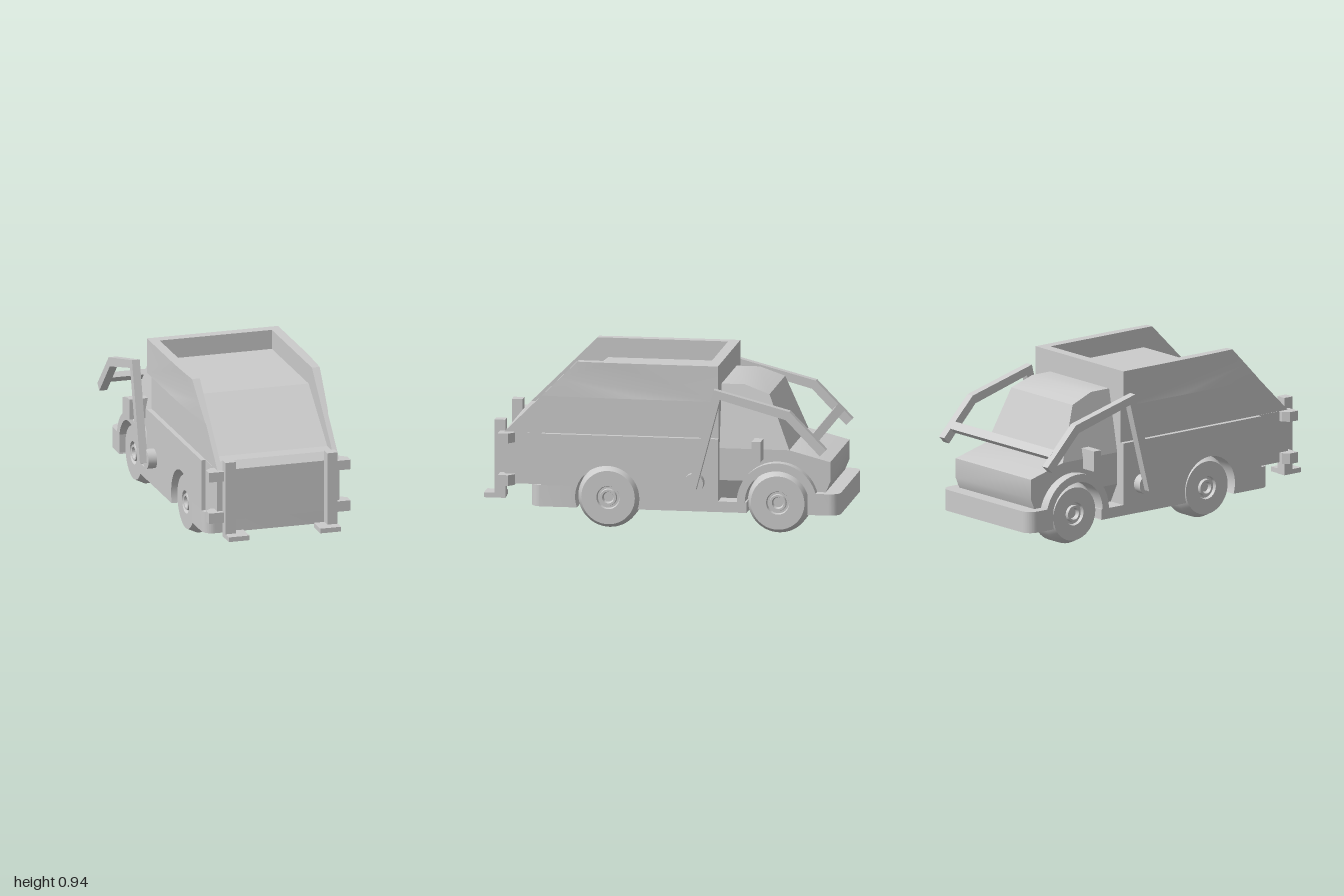
import * as THREE from 'three';
import { toCreasedNormals } from 'three/addons/utils/BufferGeometryUtils.js';

export function createModel() {
  const root = new THREE.Group();
  const mat = new THREE.MeshStandardMaterial({ color: 0xcccccc });

  const add = (name, geo) => {
    const m = new THREE.Mesh(toCreasedNormals(geo, 0.5), mat);
    m.name = name;
    root.add(m);
    return m;
  };
  const box = (name, x0, x1, y0, y1, z0, z1) =>
    add(name, new THREE.BoxGeometry(x1 - x0, y1 - y0, z1 - z0)
      .translate((x0 + x1) / 2, (y0 + y1) / 2, (z0 + z1) / 2));
  const poly = pts => new THREE.Shape(pts.map(p => new THREE.Vector2(p[0], p[1])));
  // side profile drawn in (z, y), extruded across x0..x1
  const across = (shape, x0, x1) =>
    new THREE.ExtrudeGeometry(shape, { depth: x1 - x0, bevelEnabled: false, curveSegments: 32 })
      .rotateY(-Math.PI / 2).translate(x1, 0, 0);
  // plan drawn in (x, -z), extruded up y0..y1
  const upward = (shape, y0, y1) =>
    new THREE.ExtrudeGeometry(shape, { depth: y1 - y0, bevelEnabled: false, curveSegments: 10 })
      .rotateX(-Math.PI / 2).translate(0, y0, 0);
  // same part on both sides, given its x range on the left
  const bothSides = (name, shape, x0, x1, rule = null) => {
    for (const s of [1, -1]) {
      const g = across(shape, s > 0 ? x0 : -x1, s > 0 ? x1 : -x0);
      if (rule) bend(g, rule);
      add(name, g);
    }
  };
  const bend = (g, rule) => {
    const p = g.attributes.position, v = new THREE.Vector3();
    for (let i = 0; i < p.count; i++) {
      rule(v.fromBufferAttribute(p, i));
      p.setXYZ(i, v.x, v.y, v.z);
    }
    return g;
  };
  const arc = (cz, r, y0, y1) => { // points over a wheel, from +z to -z
    const a0 = Math.asin((y0 - 0.18) / r), a1 = Math.PI - Math.asin((y1 - 0.18) / r);
    return Array.from({ length: 33 }, (_, i) => {
      const a = a0 + (a1 - a0) * i / 32;
      return [cz + r * Math.cos(a), 0.18 + r * Math.sin(a)];
    });
  };
  const REAR = 0.3, FRONT = -0.65;

  // chassis core and side skirts with wheel arches
  box('chassis', -0.2, 0.2, 0.12, 0.24, -0.95, 0.7);
  box('bodyCore', -0.2, 0.2, 0.24, 0.52, -0.32, 0.8);
  box('cabCore', -0.2, 0.2, 0.24, 0.4, -0.9, -0.32);
  bothSides('sideSkirt', poly([[0.5, 0.12], ...arc(REAR, 0.18, 0.12, 0.12),
    [-0.479, 0.12], [-0.479, 0.18], [-0.32, 0.18], [-0.32, 0.53], [0.67, 0.53], [0.67, 0.24], [0.5, 0.24]]), 0.2, 0.38);
  box('tailBlock', -0.355, 0.355, 0.24, 0.53, 0.49, 0.88);

  // rounded ends of the chassis; dir is the z direction of the end
  const endBlock = (name, z0, z1) => {
    const w = 0.38, r = 0.06, a = -z0, b = -z1, d = Math.sign(b - a);
    const s = new THREE.Shape();
    s.moveTo(-w, a);
    s.lineTo(w, a);
    s.lineTo(w, b - d * r);
    s.absarc(w - r, b - d * r, r, 0, d * Math.PI / 2, d < 0);
    s.lineTo(-w + r, b);
    s.absarc(-w + r, b - d * r, r, d * Math.PI / 2, d * Math.PI, d < 0);
    add(name, upward(s, 0.12, 0.24));
  };
  endBlock('rearChassisEnd', 0.48, 0.73);
  endBlock('bumper', -0.822, -1);

  // hopper: load ramp, recessed walls, front wall and bulged upper panels
  add('hopperFloor', across(poly([[-0.3, 0.5], [0.88, 0.5], [0.88, 0.53], [0.84, 0.57],
    [0.75, 0.57], [0.41, 0.83], [-0.3, 0.83]]), -0.325, 0.325));
  bothSides('hopperWall', poly([[-0.32, 0.5], [0.88, 0.5], [0.88, 0.53], [0.47, 0.94], [-0.32, 0.94]]), 0.325, 0.353);
  box('hopperFrontWall', -0.325, 0.325, 0.5, 0.94, -0.32, -0.26);
  const stations = [-0.32, 0.1, 0.2, 0.3, 0.4, 0.47];
  const bottom = [...stations, 0.57, 0.67].map(z => [z, 0.74]);
  const top = stations.map(z => [z, 0.94]).reverse();
  bothSides('upperPanel', poly([...bottom, [0.57, 0.84], ...top]), 0.35, 0.38, v => {
    if (Math.abs(v.x) > 0.36) {
      const t = Math.max(0, (v.z - 0.1) / 0.57);
      v.x = Math.sign(v.x) * (0.38 - 0.024 * t * t);
    }
  });

  // cab: tapered greenhouse, hood with wheel cut-outs, tucked-in sill
  add('cabRoof', bend(across(poly([[-0.71, 0.47], [-0.32, 0.47], [-0.32, 0.82], [-0.45, 0.82],
    [-0.59, 0.77]]), -0.325, 0.325), v => {
    v.x = Math.sign(v.x) * (0.325 - (v.y - 0.47) * 0.2);
  }));
  add('cabBody', across(poly([[-0.32, 0.29], [-0.32, 0.47], [-0.71, 0.47], [-0.94, 0.41], [-0.94, 0.3],
    [-0.915, 0.24], ...arc(FRONT, 0.2, 0.29, 0.24).reverse()]), -0.325, 0.325));
  add('cabSill', bend(new THREE.BoxGeometry(0.65, 0.11, 0.14).translate(0, 0.235, -0.39), v => {
    if (v.y < 0.2) v.x *= 0.83;
  }));
  bothSides('frontFender', poly([...arc(FRONT, 0.225, 0.12, 0.12),
    ...arc(FRONT, 0.18, 0.12, 0.12).reverse()]), 0.2, 0.38);

  // wheels: chamfered tyre and stepped hub
  const tyre = [[0, 0.205], [0.175, 0.205], [0.175, 0.3], [0.15, 0.353], [0.065, 0.353], [0.06, 0.335],
    [0.048, 0.335], [0.045, 0.352], [0.033, 0.352], [0.027, 0.33], [0, 0.33]];
  for (const z of [REAR, FRONT]) for (const s of [1, -1]) {
    const g = new THREE.LatheGeometry(tyre.map(p => new THREE.Vector2(...p)), 48).rotateZ(-Math.PI / 2);
    if (s < 0) g.rotateY(Math.PI);
    add('wheel', g.translate(0, 0.176, z));
  }

  // lifting arms, pivots and cross bar
  bothSides('liftArm', poly([[-0.165, 0.27], [-0.31, 0.825], [-0.735, 0.715], [-0.94, 0.505],
    [-0.905, 0.47], [-0.715, 0.668], [-0.345, 0.77], [-0.21, 0.257]]), 0.425, 0.47);
  const bar = new THREE.BoxGeometry(0.86, 0.035, 0.05).rotateX(-Math.PI / 4);
  add('crossBar', bar.translate(0, 0.557, -0.865));

  for (const s of [1, -1]) {
    const span = (a, b) => s > 0 ? [a, b] : [-b, -a];
    add('armPivot', new THREE.CylinderGeometry(0.055, 0.055, 0.07, 32).rotateZ(Math.PI / 2)
      .translate(s * 0.395, 0.285, -0.19));
    box('sideMirror', ...span(0.25, 0.42), 0.415, 0.53, -0.565, -0.515);

    // rear fork posts, feet and their corner brackets
    box('forkPost', ...span(0.265, 0.325), 0.15, 0.59, 0.88, 0.94);
    box('forkFoot', ...span(0.205, 0.325), 0.15, 0.177, 0.885, 1);
    const plan = [[0.32, 0.82], [0.375, 0.82], [0.41, 0.85], [0.41, 0.908], [0.32, 0.908]];
    for (const [y0, y1] of [[0.475, 0.53], [0.235, 0.295]])
      add('cornerBracket', upward(poly(plan.map(([x, z]) => [s * x, -z])), y0, y1));
  }
  return root;
}
